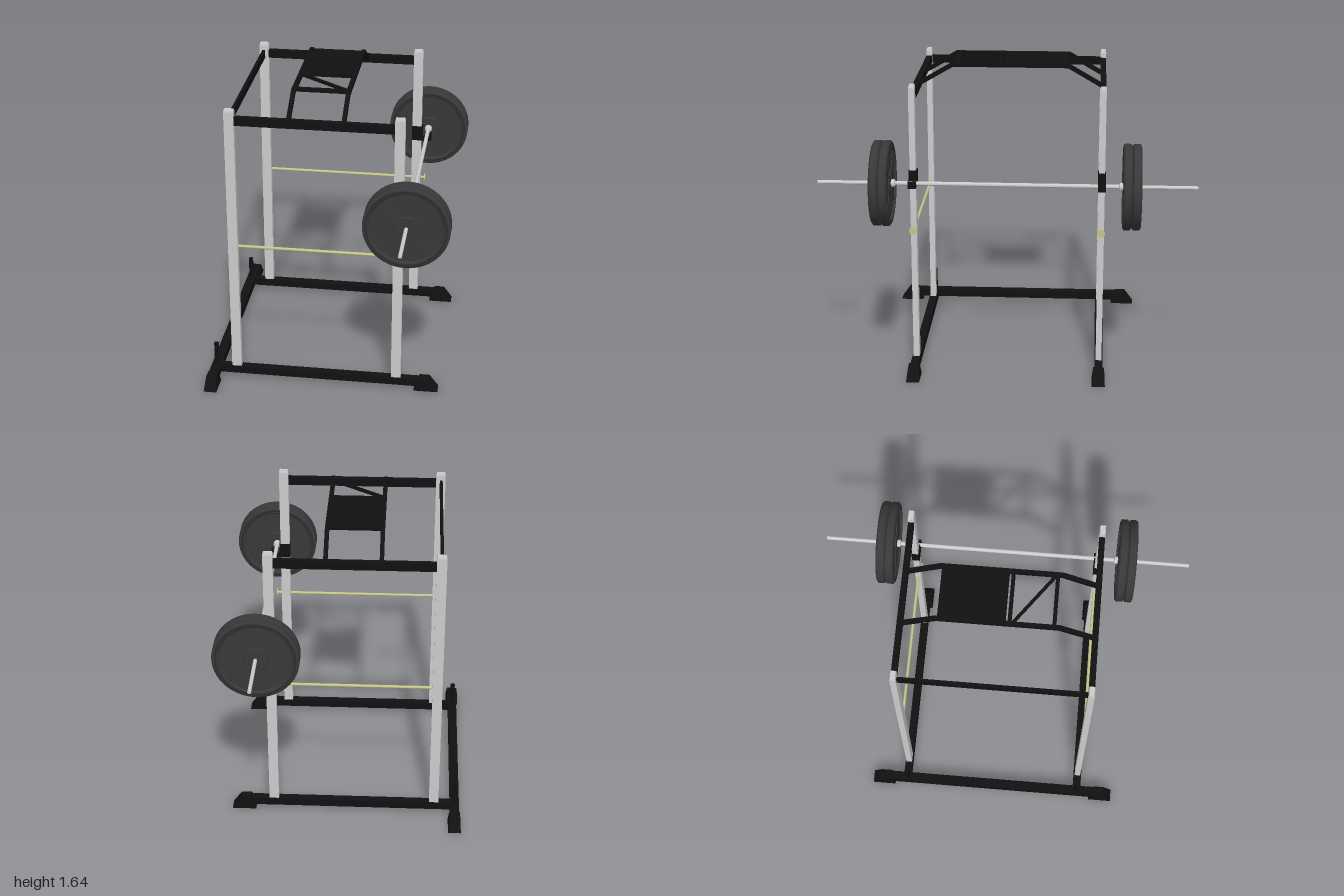
import * as THREE from 'three';
import { toCreasedNormals } from 'three/addons/utils/BufferGeometryUtils.js';

const mat = (color) => new THREE.MeshStandardMaterial({ color });
const GREY = mat(0xcccccc), BLACK = mat(0x111111), IRON = mat(0x383838), RIM = mat(0x2c2c2c), BRASS = mat(0xc4c48a);

export function createModel() {
  const root = new THREE.Group();

  function add(name, geo, material, x = 0, y = 0, z = 0, parent = root) {
    const mesh = new THREE.Mesh(geo, material);
    mesh.name = name;
    mesh.position.set(x, y, z);
    parent.add(mesh);
    return mesh;
  }
  const box = (name, w, h, d, x, y, z, material = BLACK, parent = root) =>
    add(name, new THREE.BoxGeometry(w, h, d), material, x, y, z, parent);

  // Box whose top is narrowed by the given factors and shifted along x
  function taperedBox(w, h, d, topX, topZ, shift = 0) {
    const geo = new THREE.BoxGeometry(w, h, d).toNonIndexed();
    const p = geo.attributes.position;
    for (let i = 0; i < p.count; i++) {
      if (p.getY(i) > 0) {
        p.setX(i, p.getX(i) * topX + shift);
        p.setZ(i, p.getZ(i) * topZ);
      }
    }
    geo.computeVertexNormals();
    return geo;
  }

  // Square bar between two points
  function bar(name, a, b, size, parent) {
    const from = new THREE.Vector3(...a), to = new THREE.Vector3(...b);
    const mesh = box(name, size, size, from.distanceTo(to) + size * 0.5, 0, 0, 0, BLACK, parent);
    mesh.position.copy(from).lerp(to, 0.5);
    mesh.lookAt(to);
    return mesh;
  }

  // Turned part with its axis along z; points are [radius, z]
  function turned(points, segments) {
    const geo = new THREE.LatheGeometry(points.map(([r, z]) => new THREE.Vector2(r, z)), segments);
    return toCreasedNormals(geo.rotateX(Math.PI / 2), 0.5);
  }

  // Sides: uprights, rails, feet, safety bars and bar hooks
  const footGeo = taperedBox(0.13, 0.068, 0.07, 0.42, 0.8, -0.01);
  for (const s of [1, -1]) {
    const z = s * 0.497;
    for (const x of [-0.508, 0.37]) {
      box('upright', 0.052, 1.51, 0.032, x, 0.815, z, GREY);
      add('uprightCap', taperedBox(0.052, 0.012, 0.032, 0.88, 0.8), GREY, x, 1.576, z);
    }
    box('topRail', 0.83, 0.045, 0.03, -0.068, 1.52, z);
    box('baseRail', 1.13, 0.042, 0.044, -0.035, 0.042, z);
    add('frontFoot', footGeo, BLACK, 0.535, 0.034, z);
    add('rearFoot', footGeo, BLACK, -0.622, 0.034, s * 0.635).rotation.y = -s * Math.PI / 2;
    add('storagePeg', new THREE.CylinderGeometry(0.013, 0.013, 0.13, 16), BLACK, -0.622, 0.126, z);

    const safety = new THREE.Group();
    safety.name = 'safetyBar';
    safety.position.set(0, 0.8, z);
    root.add(safety);
    add('safetyRod', new THREE.CylinderGeometry(0.008, 0.008, 0.92, 12).rotateZ(Math.PI / 2), BRASS, -0.04, 0, 0, safety);
    add('safetyStop', new THREE.CylinderGeometry(0.022, 0.022, 0.006, 20).rotateZ(Math.PI / 2), BRASS, 0.421, 0, 0, safety);

    const hook = new THREE.Group();
    hook.name = 'barHook';
    hook.position.set(0, 0, z);
    root.add(hook);
    box('hookSleeve', 0.06, 0.085, 0.042, 0.373, 1.083, 0, BLACK, hook);
    box('hookShelf', 0.06, 0.012, 0.042, 0.422, 1.047, 0, BLACK, hook);
    box('hookLip', 0.01, 0.04, 0.042, 0.447, 1.061, 0, BLACK, hook);
  }

  // Rear cross members
  box('rearBaseRail', 0.05, 0.045, 1.26, -0.622, 0.042, 0);
  box('rearTopRail', 0.016, 0.045, 0.97, -0.51, 1.52, 0);

  // Raised pull-up frame between the top rails
  const pullUp = new THREE.Group();
  pullUp.name = 'pullUpFrame';
  root.add(pullUp);
  const H = 1.625, L = -0.205, R = 0.08;
  for (const x of [L, R]) {
    bar('pullUpBar', [x, H, -0.31], [x, H, 0.31], 0.022, pullUp);
    for (const s of [1, -1]) bar('pullUpSlope', [x, H, s * 0.31], [x, 1.522, s * 0.487], 0.022, pullUp);
  }
  for (const z of [0.06, 0.285]) bar('pullUpCrossbar', [L, H, z], [R, H, z], 0.02, pullUp);
  bar('pullUpDiagonal', [L, H, 0.07], [R, H, 0.28], 0.015, pullUp);
  box('pullUpPanel', R - L, 0.016, 0.345, (L + R) / 2, H, -0.132, BLACK, pullUp);

  // Barbell
  const barbell = new THREE.Group();
  barbell.name = 'barbell';
  barbell.position.set(0.427, 1.065, 0);
  root.add(barbell);
  const half = [[0.011, 0.585], [0.02, 0.59], [0.02, 0.606], [0.01, 0.608], [0.01, 0.997], [0, 1]];
  const mirrored = half.map(([r, z]) => [r, -z]).reverse();
  add('bar', turned([...mirrored, ...half], 20), GREY, 0, 0, 0, barbell);

  // Weight plate: hub, recessed web and raised rim
  const T = 0.023;
  const face = [[0.009, T - 0.003], [0.062, T - 0.003], [0.066, T - 0.01], [0.188, T - 0.01],
    [0.196, T], [0.216, T], [0.2255, T - 0.007]];
  const plateGeo = turned([...face.map(([r, z]) => [r, -z]), ...face.slice().reverse()], 56);
  const rimGeo = new THREE.TorusGeometry(0.206, 0.008, 6, 56);

  for (const s of [1, -1]) {
    for (const z of [0.629, 0.677]) {
      const plate = new THREE.Group();
      plate.name = 'weightPlate';
      plate.position.z = s * z;
      barbell.add(plate);
      add('plateDisc', plateGeo, IRON, 0, 0, 0, plate);
      for (const side of [1, -1]) {
        add('plateRim', rimGeo, RIM, 0, 0, side * (T - 0.006), plate);
        // Four diagonal ribs on each face
        for (let i = 0; i < 4; i++) {
          const a = Math.PI / 4 + i * Math.PI / 2;
          box('plateRib', 0.132, 0.014, 0.008, Math.cos(a) * 0.127, Math.sin(a) * 0.127,
            side * (T - 0.01), IRON, plate).rotation.z = a;
        }
      }
    }
  }
  return root;
}
